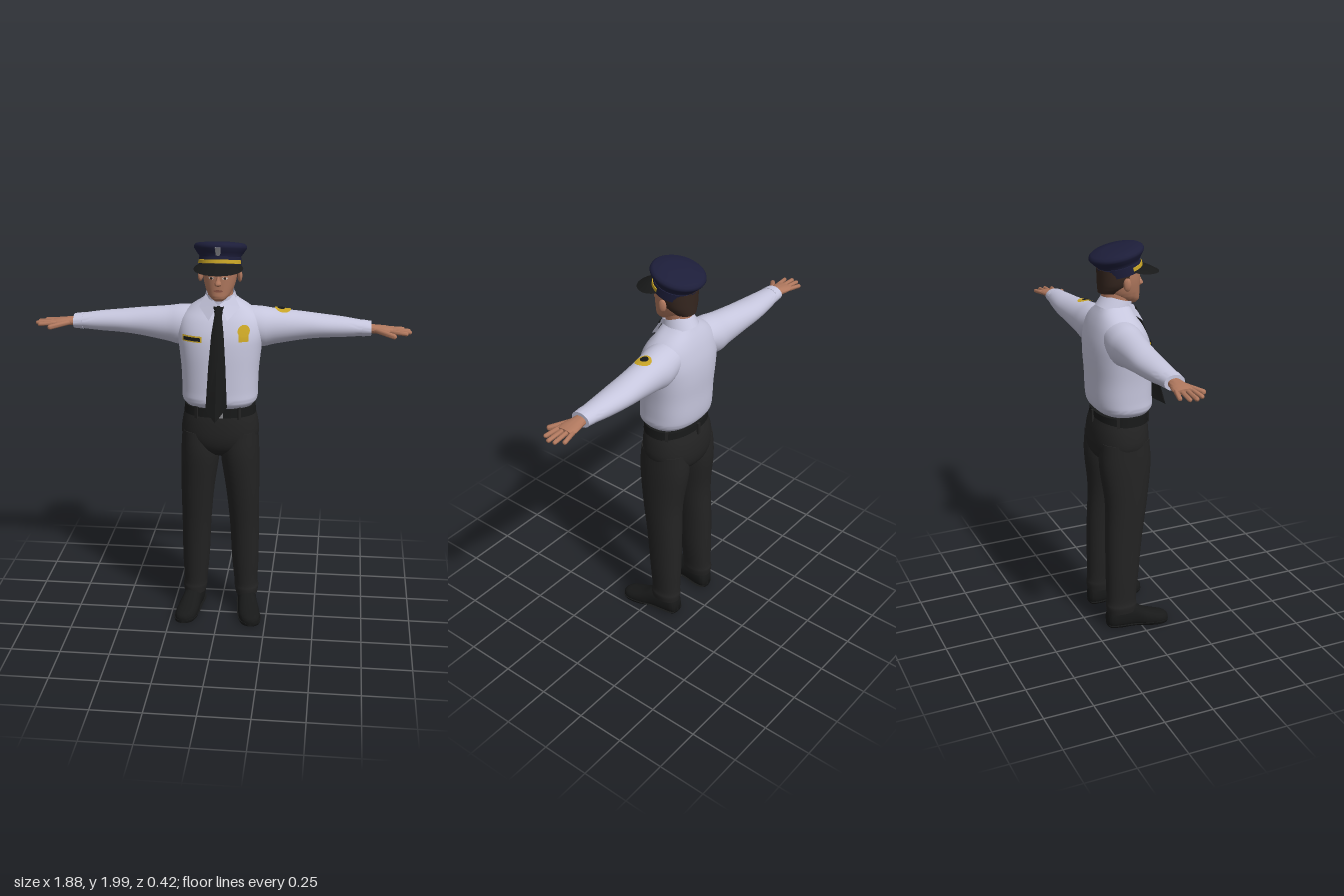
import * as THREE from 'three';
import { toCreasedNormals } from 'three/addons/utils/BufferGeometryUtils.js';

const mat = (name, color, side = THREE.FrontSide) => {
  const m = new THREE.MeshStandardMaterial({ color, side });
  m.name = name;
  return m;
};

// Section = [height, centreX, centreZ, radiusX, radiusZ]; smooth rows between them
function smooth(sections, k = 4) {
  const curve = (f) => new THREE.CatmullRomCurve3(sections.map(f), false, 'catmullrom', 0.5);
  const a = curve((s) => new THREE.Vector3(s[0], s[1], s[2]));
  const b = curve((s) => new THREE.Vector3(s[3], s[4], 0));
  const n = (sections.length - 1) * k, rows = [];
  for (let i = 0; i <= n; i++) {
    const p = a.getPoint(i / n), r = b.getPoint(i / n);
    rows.push([p.x, p.y, p.z, r.x, r.y]);
  }
  return rows;
}

// Row at a given height
function rowAt(rows, h) {
  let i = 0;
  while (i < rows.length - 2 && rows[i + 1][0] < h) i++;
  const t = (h - rows[i][0]) / (rows[i + 1][0] - rows[i][0]);
  return rows[i].map((v, j) => v + (rows[i + 1][j] - v) * t);
}

// Closed skin over rows of superellipses stacked along y
function loft(rows, p = 2, n = 32) {
  const pos = [], idx = [];
  const e = (v) => Math.sign(v) * Math.abs(v) ** (2 / p);
  for (const [y, cx, cz, rx, rz] of rows) {
    for (let j = 0; j < n; j++) {
      const t = (j / n) * Math.PI * 2;
      pos.push(cx + rx * e(Math.cos(t)), y, cz + rz * e(Math.sin(t)));
    }
  }
  const last = rows.length - 1, lo = rows.length * n, hi = lo + 1;
  for (const r of [rows[0], rows[last]]) pos.push(r[1], r[0], r[2]);
  for (let j = 0; j < n; j++) {
    const k = (j + 1) % n;
    for (let i = 0; i < last; i++) {
      const a = i * n + j, b = i * n + k;
      idx.push(a, a + n, b, b, a + n, b + n);
    }
    idx.push(lo, j, k, hi, last * n + k, last * n + j);
  }
  const g = new THREE.BufferGeometry();
  g.setAttribute('position', new THREE.Float32BufferAttribute(pos, 3));
  g.setIndex(idx);
  return g;
}

// Open sheet from equal rows of [x, y, z] points
function sheet(rows) {
  const n = rows[0].length, idx = [];
  for (let i = 0; i < rows.length - 1; i++) for (let j = 0; j < n - 1; j++) {
    const a = i * n + j;
    idx.push(a, a + n, a + 1, a + 1, a + n, a + n + 1);
  }
  const g = new THREE.BufferGeometry();
  g.setAttribute('position', new THREE.Float32BufferAttribute(rows.flat(2), 3));
  g.setIndex(idx);
  return g;
}

function move(g, rule) {
  const p = g.attributes.position, v = new THREE.Vector3();
  for (let i = 0; i < p.count; i++) {
    rule(v.fromBufferAttribute(p, i));
    p.setXYZ(i, v.x, v.y, v.z);
  }
  return g;
}

// Flip in x and restore the corner order
function mirror(src) {
  const g = src.index ? src.toNonIndexed() : src.clone();
  g.scale(-1, 1, 1);
  const p = g.attributes.position.array;
  for (let i = 0; i < p.length; i += 9) for (let j = 0; j < 3; j++) {
    [p[i + j], p[i + 6 + j]] = [p[i + 6 + j], p[i + j]];
  }
  return g;
}

// Lay a flat shape on the front of a lofted body
const onFront = (g, rows, p, off) => move(g, (v) => {
  const [, cx, cz, rx, rz] = rowAt(rows, v.y);
  v.z = cz + rz * Math.max(0, 1 - Math.abs((v.x - cx) / rx) ** p) ** (1 / p) + off;
});

function capsule(a, b, r) {
  const A = new THREE.Vector3(...a), d = new THREE.Vector3(...b).sub(A);
  const g = new THREE.CapsuleGeometry(r, d.length(), 4, 10);
  g.applyQuaternion(new THREE.Quaternion().setFromUnitVectors(new THREE.Vector3(0, 1, 0), d.clone().normalize()));
  return g.translate(...A.addScaledVector(d, 0.5).toArray());
}

export function createModel() {
  const root = new THREE.Group();
  root.name = 'uniformedOfficer';
  const shirt = mat('shirtWhite', 0xc6c6dd, THREE.DoubleSide), cloth = mat('trouserCharcoal', 0x232323);
  const black = mat('black', 0x181919, THREE.DoubleSide), navy = mat('capNavy', 0x1d1e3a);
  const skin = mat('skin', 0xb0785e), hair = mat('hairBrown', 0x35261f), gold = mat('gold', 0xc9a526);
  const silver = mat('silver', 0x8d8d92), lip = mat('lipRose', 0x8e5646), white = mat('eyeWhite', 0xd8d0c8);
  const add = (name, g, m, parent = root) => {
    const mesh = new THREE.Mesh(toCreasedNormals(g, 0.9), m);
    mesh.name = name;
    parent.add(mesh);
  };
  const pair = (name, g, m) => {
    add('left' + name, g, m);
    add('right' + name, mirror(g), m);
  };

  // Shirt body
  const torso = smooth([[1.17, 0, -0.04, 0.166, 0.122], [1.2, 0, -0.043, 0.187, 0.147], [1.25, 0, -0.049, 0.189, 0.152],
    [1.35, 0, -0.052, 0.193, 0.152], [1.45, 0, -0.057, 0.204, 0.152], [1.53, 0, -0.061, 0.213, 0.144],
    [1.6, 0, -0.068, 0.2, 0.122], [1.65, 0, -0.075, 0.155, 0.097], [1.69, 0, -0.073, 0.095, 0.078], [1.71, 0, -0.07, 0.07, 0.07]]);
  add('shirtBody', loft(torso, 2.4, 48), shirt);

  // Sleeves and cuffs, lofted along x
  const arm = smooth([[0.08, -1.58, -0.085, 0.075, 0.085], [0.19, -1.553, -0.09, 0.1, 0.095], [0.27, -1.553, -0.097, 0.088, 0.086],
    [0.4, -1.557, -0.107, 0.07, 0.078], [0.5, -1.557, -0.11, 0.058, 0.074], [0.6, -1.555, -0.108, 0.05, 0.063],
    [0.7, -1.553, -0.102, 0.038, 0.051], [0.735, -1.552, -0.1, 0.033, 0.047]]);
  const alongX = (g) => g.rotateZ(-Math.PI / 2);
  pair('Sleeve', alongX(loft(arm)), shirt);
  pair('Cuff', alongX(loft([[0.695, -1.553, -0.101, 0.041, 0.053], [0.74, -1.552, -0.1, 0.036, 0.05]])), shirt);

  // Hands
  pair('Palm', alongX(loft(smooth([[0.72, -1.552, -0.1, 0.022, 0.03], [0.76, -1.55, -0.1, 0.021, 0.036],
    [0.81, -1.548, -0.1, 0.018, 0.047], [0.845, -1.546, -0.1, 0.013, 0.045]]))), skin);
  [[-0.137, -0.15, 0.895], [-0.113, -0.117, 0.922], [-0.088, -0.086, 0.928], [-0.064, -0.053, 0.91]].forEach(([z0, z1, x], i) =>
    pair('Finger' + (i + 1), capsule([0.83, 1.546, z0], [x, 1.54, z1], 0.0105), skin));
  pair('Thumb', capsule([0.765, 1.548, -0.075], [0.85, 1.535, -0.018], 0.013), skin);

  // Trousers
  add('trouserSeat', loft(smooth([[0.9, 0, -0.06, 0.07, 0.08], [0.94, 0, -0.06, 0.15, 0.125], [1.0, 0, -0.058, 0.194, 0.142],
    [1.08, 0, -0.055, 0.19, 0.14], [1.15, 0, -0.05, 0.172, 0.126]]), 2.3, 40), cloth);
  pair('TrouserLeg', loft(smooth([[0.09, 0.138, -0.092, 0.058, 0.078], [0.125, 0.137, -0.093, 0.063, 0.081], [0.16, 0.134, -0.092, 0.061, 0.078],
    [0.3, 0.13, -0.086, 0.07, 0.085], [0.5, 0.125, -0.075, 0.075, 0.095], [0.7, 0.116, -0.058, 0.085, 0.108],
    [0.9, 0.101, -0.057, 0.098, 0.132], [1.03, 0.1, -0.057, 0.092, 0.125]]), 2.2), cloth);

  // Belt
  const belt = [[1.122, 0, -0.048, 0.181, 0.133], [1.167, 0, -0.048, 0.177, 0.131]];
  add('belt', loft(belt, 2.3, 40), black);
  add('beltBuckle', new THREE.BoxGeometry(0.055, 0.042, 0.008).translate(0, 1.144, 0.087), silver);
  for (const a of [0.95, 2.2, -0.5, -1.57, -2.64]) {
    const g = new THREE.BoxGeometry(0.016, 0.062, 0.01).rotateY(Math.PI / 2 - a);
    add('beltLoop', g.translate(0.182 * Math.cos(a), 1.143, -0.048 + 0.14 * Math.sin(a)), cloth);
  }

  // Shoes, lofted along z and flattened underneath
  const shoe = smooth([[-0.168, 0.132, -0.045, 0.028, 0.035], [-0.15, 0.133, -0.055, 0.043, 0.058], [-0.1, 0.137, -0.06, 0.048, 0.072],
    [-0.03, 0.147, -0.055, 0.049, 0.062], [0.03, 0.158, -0.035, 0.055, 0.048], [0.09, 0.168, -0.025, 0.055, 0.038],
    [0.13, 0.174, -0.022, 0.042, 0.03], [0.148, 0.176, -0.02, 0.02, 0.018]]);
  const shoePart = (grow, lo, hi) => move(loft(shoe.map((r) => [r[0], r[1], r[2], r[3] + grow, r[4] + grow]), 2.3)
    .rotateX(Math.PI / 2), (v) => { v.y = Math.min(hi, Math.max(lo, v.y)); });
  pair('Shoe', shoePart(0, 0.012, 1), black);
  pair('ShoeSole', shoePart(0.005, 0, 0.018), black);

  // Neck, head and hair
  add('neck', loft([[1.66, 0, -0.062, 0.062, 0.066], [1.8, 0, -0.065, 0.06, 0.068]]), skin);
  const head = smooth([[1.703, 0, 0.02, 0.022, 0.024], [1.72, 0, 0.008, 0.044, 0.05], [1.75, 0, -0.022, 0.065, 0.08],
    [1.79, 0, -0.038, 0.078, 0.097], [1.83, 0, -0.042, 0.084, 0.102], [1.88, 0, -0.042, 0.085, 0.1]]);
  add('head', loft(head, 2.2), skin);
  add('hair', loft(smooth([[1.765, 0, -0.088, 0.055, 0.06], [1.8, 0, -0.073, 0.081, 0.075],
    [1.84, 0, -0.062, 0.09, 0.087], [1.88, 0, -0.06, 0.091, 0.09]]), 2.2), hair);
  add('nose', loft(smooth([[1.782, 0, 0.06, 0.011, 0.012], [1.792, 0, 0.063, 0.017, 0.021],
    [1.812, 0, 0.058, 0.01, 0.016], [1.836, 0, 0.056, 0.007, 0.008]]), 2, 16), skin);
  pair('Ear', new THREE.SphereGeometry(1, 14, 10).scale(0.011, 0.033, 0.019).rotateY(0.4).translate(0.096, 1.815, -0.04), skin);

  // Face details
  const dot = (x, y, rx, ry, off) => onFront(new THREE.CircleGeometry(1, 16).scale(rx, ry, 1).translate(x, y, 0), head, 2.2, off);
  pair('Eye', dot(0.033, 1.819, 0.013, 0.006, 0.002), white);
  pair('Iris', dot(0.033, 1.819, 0.006, 0.006, 0.004), hair);
  pair('Eyebrow', dot(0.035, 1.837, 0.019, 0.004, 0.003), hair);
  add('mouth', dot(0, 1.757, 0.023, 0.006, 0.003), lip);

  // Collar
  add('collarBand', new THREE.CylinderGeometry(0.069, 0.086, 0.06, 32, 1, true).scale(1, 1, 1.08)
    .rotateX(0.3).translate(0, 1.706, -0.062), shirt);
  pair('CollarWing', sheet([[[0.045, 1.612, 0.066], [0.1, 1.665, -0.004]], [[0.004, 1.685, 0.034], [0.07, 1.722, -0.025]]]), shirt);

  // Tie hanging forward with a twisted end
  add('tieKnot', loft([[1.628, 0, 0.045, 0.016, 0.02], [1.675, 0, 0.026, 0.027, 0.02]], 2.5, 16), black);
  add('tie', sheet([[1.65, 0.016, 0.05, 0.058, 0.05], [1.55, 0.03, 0.087, 0.1, 0.088], [1.4, 0.041, 0.126, 0.14, 0.113],
    [1.19, 0.05, 0.175, 0.2, 0.122]].map(([y, w, l, c, r], i) => [[-w, y, l], [0, i === 3 ? 1.14 : y, i === 3 ? 0.213 : c], [w, y, r]])), black);

  // Chest badge and name bar
  const bar = (w, h, x, y, off) => onFront(new THREE.PlaneGeometry(w, h, 6, 3).translate(x, y, 0), torso, 2.4, off);
  add('chestBadgeTop', onFront(new THREE.CircleGeometry(0.029, 20).translate(0.125, 1.563, 0), torso, 2.4, 0.008), gold);
  add('chestBadgeBase', bar(0.048, 0.04, 0.125, 1.533, 0.0075), gold);
  add('nameBarBorder', bar(0.1, 0.03, -0.128, 1.52, 0.005), gold);
  add('nameBar', bar(0.084, 0.017, -0.128, 1.52, 0.008), black);

  // Emblem patch over the left sleeve
  const patch = (r, x, z, off) => move(new THREE.CircleGeometry(r, 20).rotateX(-Math.PI / 2).translate(x, 0, z), (v) => {
    const [, ny, cz, ry, rz] = rowAt(arm, v.x);
    v.y = -ny + ry * Math.sqrt(Math.max(0, 1 - ((v.z - cz) / rz) ** 2)) + off;
  });
  add('sleevePatch', patch(0.04, 0.305, -0.095, 0.007), gold);
  add('sleevePatchCentre', patch(0.02, 0.297, -0.095, 0.01), black);

  // Peaked cap, tilted back
  const cap = new THREE.Group();
  cap.name = 'cap';
  cap.position.set(0, 1.86, -0.036);
  cap.rotation.x = -0.22;
  root.add(cap);
  const lathe = (pts, start, len) => new THREE.LatheGeometry(pts.map((p) => new THREE.Vector2(...p)), 48, start, len).scale(1, 1, 1.05);
  add('capCrown', lathe([[0, 0.005], [0.098, 0], [0.1, 0.045], [0.113, 0.063], [0.126, 0.082], [0.129, 0.09],
    [0.126, 0.1], [0.115, 0.109], [0.06, 0.115], [0, 0.116]]), navy, cap);
  add('capBand', lathe([[0.099, -0.002], [0.102, -0.002], [0.103, 0.042], [0.1, 0.043]]), navy, cap);
  add('capStrap', lathe([[0.103, 0.01], [0.107, 0.011], [0.107, 0.028], [0.103, 0.029]], -1.3, 2.6), gold, cap);
  const arc = (f) => Array.from({ length: 25 }, (_, j) => {
    const a = (j / 12 - 1) * 1.3, t = f * Math.cos(a * 1.2) ** 0.7;
    const r = 0.102 + 0.08 * t;
    return [r * Math.sin(a), 0.008 - 0.058 * t ** 1.3, r * Math.cos(a) * 1.03];
  });
  add('capVisor', sheet([0, 0.25, 0.5, 0.75, 1].map(arc)), black, cap);
  add('capBadge', new THREE.CylinderGeometry(0.014, 0.011, 0.042, 8).scale(1, 1, 0.35).rotateX(0.55).translate(0, 0.066, 0.125), silver, cap);
  return root;
}
